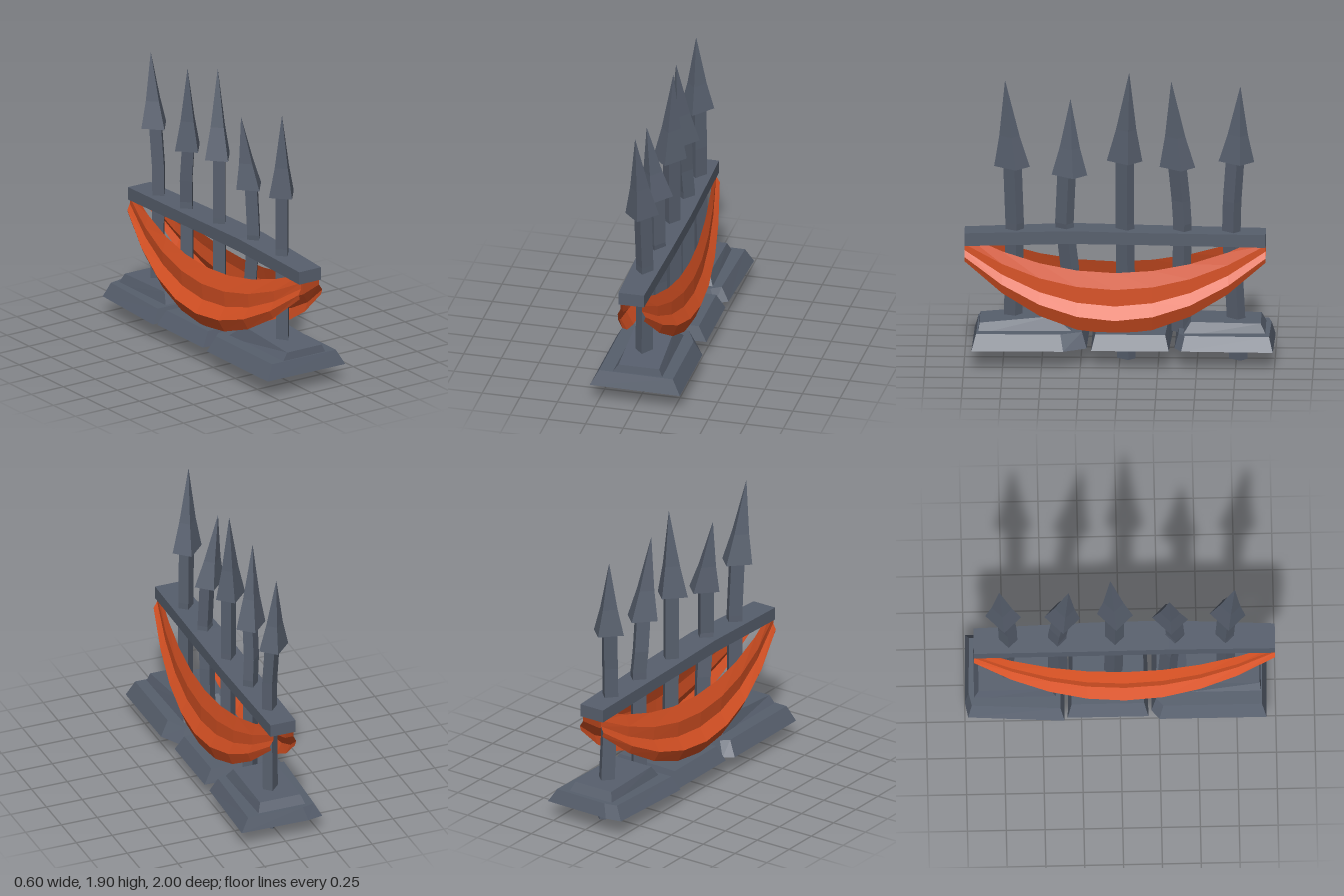
import * as THREE from 'three';

const iron = new THREE.MeshStandardMaterial({ color: 0x575f6d, flatShading: true });
iron.name = 'slate iron';
const cloth = new THREE.MeshStandardMaterial({ color: 0xd95224, flatShading: true, side: THREE.DoubleSide });
cloth.name = 'orange cloth';

// Skins a list of equal-sized rings of [x, y, z]; closed rings also get end caps.
function loft(name, rings, material, closed = true) {
  const n = rings[0].length, pos = [];
  const tri = (...pts) => pts.forEach(p => pos.push(...p));
  for (let k = 0; k < rings.length - 1; k++) {
    for (let i = 0; i < (closed ? n : n - 1); i++) {
      const j = (i + 1) % n;
      const a = rings[k][i], b = rings[k][j], c = rings[k + 1][j], d = rings[k + 1][i];
      tri(a, b, c);
      tri(a, c, d);
    }
  }
  if (closed) {
    const s = rings[0], e = rings[rings.length - 1];
    for (let i = 1; i < n - 1; i++) {
      tri(s[0], s[i + 1], s[i]);
      tri(e[0], e[i], e[i + 1]);
    }
  }
  const geo = new THREE.BufferGeometry();
  geo.setAttribute('position', new THREE.Float32BufferAttribute(pos, 3));
  geo.computeVertexNormals();
  const mesh = new THREE.Mesh(geo, material);
  mesh.name = name;
  return mesh;
}

// Lopsided diamond section shared by shafts and spearheads
const diamond = [[-0.115, 0], [-0.01, 0.11], [0.1, -0.03], [0.005, -0.12]];
const diamondRing = (x, y, z, s) => diamond.map(([dx, dz]) => [x + dx * s, y, z + dz * s]);

// Spear: a bent shaft path of [x, y, z] and a head with base height and tip
function spear(path, baseY, headZ, tip) {
  const g = new THREE.Group();
  g.name = 'spear';
  g.add(loft('shaft', path.map(([x, y, z]) => diamondRing(x, y, z, 0.52)), iron));
  const mid = 0.36;
  g.add(loft('spearhead', [
    diamondRing(-0.01, baseY, headZ, 1),
    diamondRing(-0.01 + (tip[0] + 0.01) * mid, baseY + (tip[1] - baseY) * mid,
      headZ + (tip[2] - headZ) * mid, 0.57),
    diamondRing(...tip, 0.01),
  ], iron));
  return g;
}

// Stone: outline of [x, z] tapering upwards
function stone(name, outline, y0, y1, sx, sz, cz) {
  return loft(name, [
    outline.map(([x, z]) => [x, y0, z]),
    outline.map(([x, z]) => [x * sx, y1, cz + (z - cz) * sz]),
  ], iron);
}

// Swag of cloth on one side; each row is [end x, end y, middle x, middle y]
function drape(name, rows) {
  const sections = [];
  for (let k = 0; k <= 8; k++) {
    const t = 1 - k / 4, f = 1 - t * t;
    sections.push(rows.map(([ex, ey, mx, my]) =>
      [ex + (mx - ex) * f, ey + (my - ey) * f, 0.03 + 0.97 * t]));
  }
  return loft(name, sections, cloth, false);
}

export function createModel() {
  const model = new THREE.Group();
  model.name = 'spearFence';

  // Base stones
  model.add(stone('frontStone',
    [[-0.3, 0.94], [0.3, 0.95], [0.3, 0.36], [0.22, 0.21], [-0.24, 0.2], [-0.3, 0.25]],
    0.12, 0.22, 0.82, 0.92, 0.59));
  model.add(stone('middleStone',
    [[-0.28, 0.18], [0.28, 0.18], [0.28, -0.32], [-0.28, -0.34]],
    0.12, 0.215, 0.8, 0.9, -0.08));
  model.add(stone('backStone',
    [[-0.3, -0.36], [0.2, -0.355], [0.28, -0.4], [0.3, -0.99], [-0.16, -1], [-0.265, -0.98]],
    0.12, 0.21, 0.82, 0.92, -0.68));

  // Raised slabs on the end stones
  model.add(loft('frontSlab', [
    [[-0.17, 0.2, 0.91], [0.18, 0.2, 0.91], [0.17, 0.2, 0.28], [-0.17, 0.2, 0.28]],
    [[-0.12, 0.27, 0.9], [0.15, 0.27, 0.9], [0.13, 0.31, 0.43], [-0.13, 0.31, 0.43]],
  ], iron));
  model.add(loft('backSlab', [
    [[-0.17, 0.19, -0.4], [0.18, 0.19, -0.4], [0.17, 0.19, -0.95], [-0.17, 0.19, -0.95]],
    [[-0.14, 0.28, -0.46], [0.14, 0.28, -0.46], [0.14, 0.27, -0.91], [-0.14, 0.27, -0.91]],
  ], iron));

  // Spears, front to back
  model.add(spear([[0, 0.2, 0.69], [0, 0.9, 0.68], [-0.01, 1.3, 0.695]], 1.27, 0.70, [-0.05, 1.83, 0.74]));
  model.add(spear([[0, 0.2, 0.31], [0, 0.6, 0.325], [0, 0.9, 0.36], [-0.01, 1.25, 0.345]], 1.215, 0.33, [-0.08, 1.70, 0.32]));
  model.add(spear([[0.01, 0, -0.04], [0, 0.9, -0.03], [0, 1.34, -0.03]], 1.31, -0.025, [0, 1.90, -0.06]));
  model.add(spear([[0, 0.18, -0.39], [0, 0.9, -0.40], [-0.01, 1.05, -0.39], [-0.01, 1.3, -0.365]], 1.27, -0.365, [-0.05, 1.83, -0.33]));
  model.add(spear([[0.01, 0, -0.76], [0, 0.85, -0.715], [0, 1.05, -0.72], [-0.01, 1.34, -0.74]], 1.31, -0.745, [-0.03, 1.805, -0.775]));

  // Crossbar, bowed up slightly: [z, left x, right x, bottom y, top y]
  const bar = [[1, -0.095, 0.075, 0.76, 0.845], [0.32, -0.1, 0.1, 0.785, 0.87],
    [-0.15, -0.1, 0.1, 0.78, 0.86], [-0.94, -0.095, 0.08, 0.76, 0.845]];
  model.add(loft('crossbar', bar.map(([z, a, b, lo, hi]) =>
    [[a, hi, z], [b, hi, z], [b, lo, z], [a, lo, z]]), iron));

  // Cloth swags on both sides
  model.add(drape('leftDrape', [[0.05, 0.83, 0.13, 0.6], [0.06, 0.77, 0.16, 0.495],
    [0.06, 0.73, 0.16, 0.385], [0.085, 0.69, 0.205, 0.3], [0.075, 0.66, 0.165, 0.2]]));
  model.add(drape('rightDrape', [[-0.07, 0.83, -0.15, 0.6], [-0.08, 0.77, -0.19, 0.495],
    [-0.08, 0.73, -0.18, 0.385], [-0.1, 0.69, -0.235, 0.3], [-0.09, 0.66, -0.185, 0.21]]));

  return model;
}
